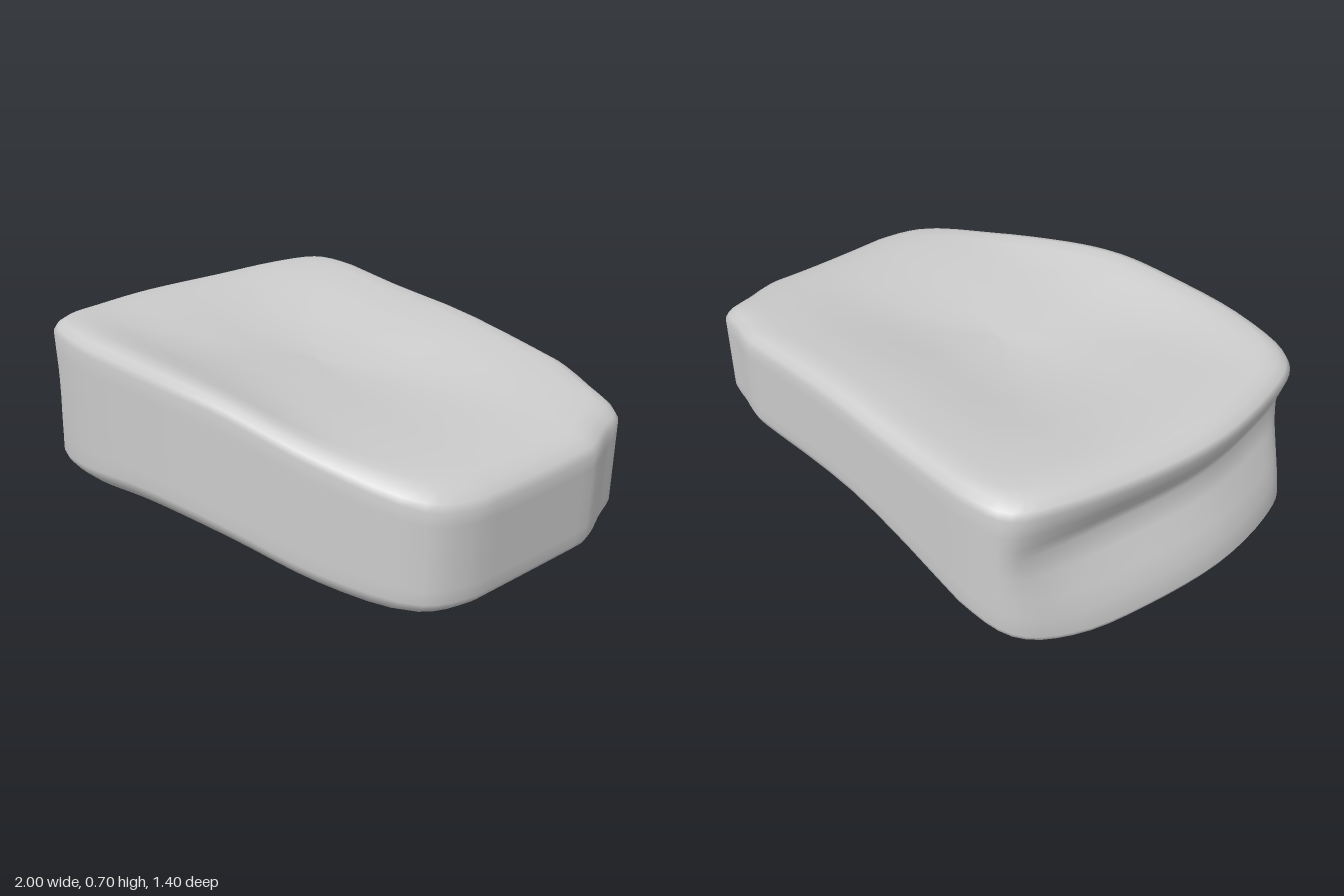
import * as THREE from 'three';

// Plan outline as x, z pairs, starting at the back edge
const OUTLINE = [[-0.6, -0.7], [0, -0.7], [0.6, -0.7], [0.75, -0.665], [0.9, -0.62], [0.95, -0.5], [1, -0.37], [1, -0.1], [1, 0.16],
  [0.93, 0.34], [0.6, 0.5], [0.25, 0.6], [0, 0.66], [-0.25, 0.685], [-0.57, 0.695], [-0.8, 0.65],
  [-0.9, 0.58], [-0.96, 0.43], [-1, 0.15], [-0.97, -0.18], [-0.9, -0.46], [-0.8, -0.64]];

// Height curves: top and bottom along x, dip of the top along z
const TOP = [[-1, 0.665], [-0.85, 0.677], [-0.6, 0.692], [-0.25, 0.703], [0, 0.705], [0.25, 0.688], [0.6, 0.625], [0.9, 0.56], [1, 0.54]];
const BOTTOM = [[-1, 0.025], [-0.85, 0.003], [-0.6, 0.035], [-0.25, 0.1], [0, 0.125], [0.25, 0.115], [0.6, 0.08], [0.9, 0.07], [1, 0.07]];
const DIP = [[-0.7, 0.05], [-0.6, 0.05], [-0.42, 0.065], [-0.2, 0.112], [0, 0.115], [0.2, 0.092], [0.4, 0.065], [0.52, 0.025], [0.63, 0], [0.7, 0]];

// Rounded lookup through a list of [t, value] pairs
function lookup(table, t) {
  const n = table.length - 1;
  let i = 0;
  while (i < n - 1 && t > table[i + 1][0]) i++;
  const slope = k => {
    const a = table[Math.max(k - 1, 0)], b = table[Math.min(k + 1, n)];
    return (b[1] - a[1]) / (b[0] - a[0]);
  };
  const [x0, y0] = table[i], [x1, y1] = table[i + 1], h = x1 - x0;
  const u = THREE.MathUtils.clamp((t - x0) / h, 0, 1), v = 1 - u;
  return v * v * (1 + 2 * u) * y0 + u * u * (3 - 2 * u) * y1 + h * u * v * (v * slope(i) - u * slope(i + 1));
}

const leftness = x => 1 - THREE.MathUtils.smoothstep(x, -0.99, -0.74);

// The saddle is deepest mid-length and flattens out towards both ends
function topHeight(x, z) {
  const fade = 1 - 0.85 * THREE.MathUtils.smoothstep(Math.abs(x), 0.15, 0.9);
  return lookup(TOP, x) - lookup(DIP, z) * fade;
}

function bottomHeight(x, z) {
  return lookup(BOTTOM, x) + (z > 0 ? 0.22 : 0.45) * Math.max(0, Math.abs(z) - 0.3) ** 2;
}

// Rings from underside to top: plan scale, base (0 bottom, 1 top), offset, left groove depth
const LOW = 0.078, HIGH = -0.055;
const RINGS = [
  ...[0, 0.2, 0.4, 0.6, 0.75, 0.87].map(s => [s, 0, 0, 0]),
  [0.925, 0, 0.008, 0], [0.965, 0, 0.032, 0], [0.99, 0, 0.056, 0], [1, 0, LOW, 0],
  [1, 0.15, 0, 0.02], [1, 0.3, 0, 0.05], [1, 0.47, 0, 0.1], [1, 0.62, 0, 0.13], [1, 0.73, 0, 0.11], [1, 0.85, 0, 0.08],
  [1, 1, HIGH, 0.05], [0.985, 1, -0.032, 0.05], [0.955, 1, -0.012, 0.05], [0.91, 1, 0, 0.05],
  ...[0.84, 0.75, 0.6, 0.4, 0.2, 0].map(s => [s, 1, 0, 0.05])
];

function createBodyGeometry() {
  const curve = new THREE.CatmullRomCurve3(OUTLINE.map(([x, z]) => new THREE.Vector3(x, 0, z)), true);
  const count = OUTLINE.length * 4;
  const positions = [], index = [];
  RINGS.forEach(([scale, base, offset, groove], r) => {
    for (let i = 0; i < count; i++) {
      const p = curve.getPoint(i / count);
      const x = THREE.MathUtils.clamp(p.x, -1, 1) * scale;
      const z = THREE.MathUtils.clamp(p.z, -0.7, 0.7) * scale;
      const low = bottomHeight(x, z), high = topHeight(x, z);
      const y = base === 0 ? low + offset
        : base === 1 ? high + offset
        : THREE.MathUtils.lerp(low + LOW, high + HIGH, base);
      positions.push(x + groove * leftness(p.x) * scale, y, z);
      if (r === RINGS.length - 1) continue;
      const a = r * count + i, b = r * count + (i + 1) % count;
      index.push(a, a + count, b, b, a + count, b + count);
    }
  });
  const geometry = new THREE.BufferGeometry();
  geometry.setAttribute('position', new THREE.Float32BufferAttribute(positions, 3));
  geometry.setIndex(index);
  geometry.computeVertexNormals();
  return geometry;
}

export function createModel() {
  const group = new THREE.Group();
  const body = new THREE.Mesh(createBodyGeometry(), new THREE.MeshStandardMaterial({ color: 0xcccccc }));
  body.name = 'body';
  group.add(body);
  return group;
}
